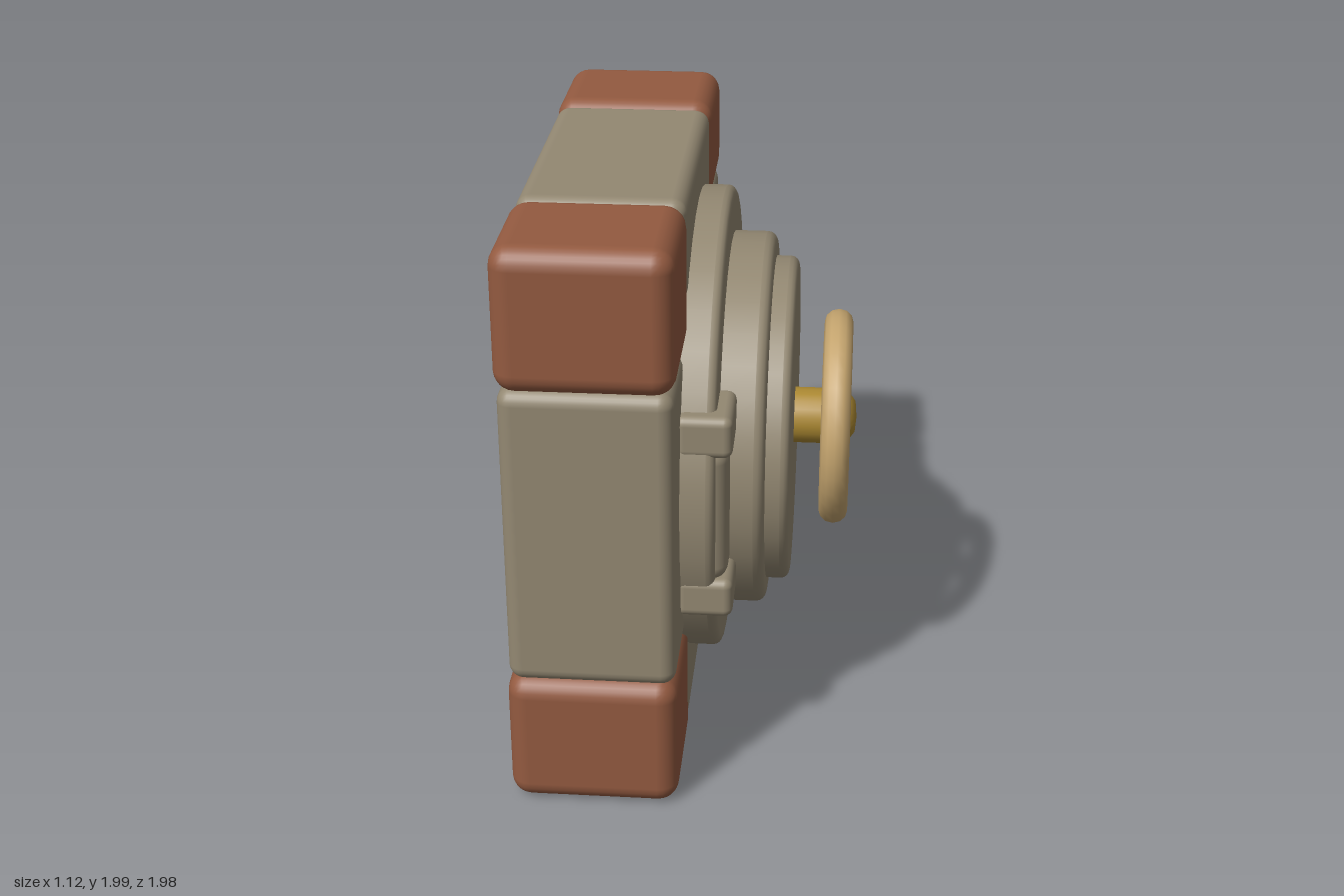
import * as THREE from 'three';
import { RoundedBoxGeometry } from 'three/addons/geometries/RoundedBoxGeometry.js';

const mat = (name, color) => {
  const m = new THREE.MeshStandardMaterial({ color });
  m.name = name;
  return m;
};

export function createModel() {
  const model = new THREE.Group();
  model.name = 'vaultDoor';
  const stone = mat('stone', 0x938872);
  const rust = mat('rust', 0x935a40);
  const tan = mat('tan', 0xc4a46e);
  const gold = mat('gold', 0xac8932);

  const add = (name, geometry, material, x = 0, y = 0, z = 0, parent = model) => {
    const mesh = new THREE.Mesh(geometry, material);
    mesh.name = name;
    mesh.position.set(x, y, z);
    parent.add(mesh);
    return mesh;
  };
  // Rounded block given by its limits on each axis
  const block = (name, material, [x0, x1], [y0, y1], [z0, z1], r = 0.05) =>
    add(name, new RoundedBoxGeometry(x1 - x0, y1 - y0, z1 - z0, 3, r), material,
      (x0 + x1) / 2, (y0 + y1) / 2, (z0 + z1) / 2);
  // Profile of [radius, x] points turned around the x axis
  const turned = (name, material, points, y, segments = 36) => {
    const g = new THREE.LatheGeometry(points.map(([r, x]) => new THREE.Vector2(r, x)), segments);
    g.rotateZ(-Math.PI / 2);
    return add(name, g, material, 0, y, 0);
  };
  const tube = (name, points, r, material) => add(name, new THREE.TubeGeometry(
    new THREE.CatmullRomCurve3(points.map((p) => new THREE.Vector3(...p))), 28, r, 10), material);

  // Square frame: core, four edge panels and four corner blocks
  const depth = [-0.555, -0.003];
  block('core', stone, [-0.55, -0.01], [0.45, 1.56], [-0.54, 0.54], 0.03);
  block('topPanel', stone, depth, [1.5, 1.985], [-0.51, 0.51]);
  block('bottomPanel', stone, depth, [0.02, 0.51], [-0.51, 0.51]);
  block('frontPanel', stone, depth, [0.48, 1.53], [0.49, 0.985]);
  block('backPanel', stone, depth, [0.47, 1.62], [-0.985, -0.49]);
  block('cornerTopFront', rust, [-0.565, 0.002], [1.515, 1.995], [0.505, 0.99], 0.07);
  block('cornerTopBack', rust, [-0.565, 0.002], [1.605, 1.995], [-0.99, -0.505], 0.07);
  for (const [name, z] of [['cornerBottomFront', [0.505, 0.99]], ['cornerBottomBack', [-0.99, -0.505]]])
    block(name, rust, [-0.565, 0.002], [0.01, 0.485], z, 0.07);

  // Stepped round door, each step with a rounded rim
  const disc = (name, r, x0, x1, y, b) => {
    const rim = [0, 1, 2, 3, 4].map((i) => {
      const a = (i / 4) * Math.PI / 2;
      return [r - b + b * Math.cos(a), x1 - b + b * Math.sin(a)];
    });
    turned(name, stone, [[r, x0], [r, x1 - b - 0.001], ...rim, [r - b - 0.01, x1], [0.001, x1]], y);
  };
  disc('outerRing', 0.82, -0.02, 0.11, 1.005, 0.03);
  disc('middleRing', 0.66, 0.08, 0.26, 1.005, 0.035);
  disc('doorFace', 0.575, 0.24, 0.34, 1.005, 0.03);

  // Hinge on the front edge of the door
  block('upperHinge', stone, [-0.02, 0.165], [1.22, 1.365], [0.54, 0.785], 0.03);
  block('lowerHinge', stone, [-0.02, 0.168], [0.63, 0.77], [0.54, 0.78], 0.03);
  block('hingeBarrel', stone, [-0.02, 0.15], [0.75, 1.25], [0.6, 0.77], 0.06);

  // Hand wheel
  const wheel = new THREE.Group();
  wheel.name = 'handWheel';
  wheel.position.set(0.487, 1.015, 0);
  model.add(wheel);
  const ring = new THREE.TorusGeometry(0.338, 0.044, 12, 36);
  ring.scale(1, 1, 1.15);
  add('wheelRim', ring, tan, 0, 0, 0, wheel).rotation.y = Math.PI / 2;
  for (const s of [-1, 1])
    add('spoke', new THREE.CylinderGeometry(0.035, 0.035, 0.66, 10), gold, 0, 0, 0, wheel)
      .rotation.x = s * Math.PI / 4;
  turned('hub', gold, [[0.1, 0.33], [0.1, 0.5], [0.09, 0.53], [0.055, 0.555], [0.001, 0.56]], 1.015, 20);

  // Hasp and padlock on the back edge of the door
  block('haspPlate', rust, [0.09, 0.2], [0.87, 1.16], [-0.985, -0.6], 0.045);
  tube('haspLoop', [[0.17, 0.97, -0.69], [0.27, 0.97, -0.72], [0.29, 0.98, -0.8],
    [0.27, 0.98, -0.87], [0.17, 0.98, -0.9]], 0.026, rust);
  tube('shackle', [[0.245, 0.82, -0.755], [0.24, 0.96, -0.75], [0.24, 1.03, -0.8],
    [0.24, 1.03, -0.86], [0.24, 0.96, -0.9], [0.245, 0.82, -0.895]], 0.027, rust);
  // Padlock body, narrowed towards its foot
  const body = new RoundedBoxGeometry(0.14, 0.29, 0.28, 4, 0.06);
  const p = body.attributes.position;
  for (let i = 0; i < p.count; i++) {
    const t = Math.max(0, -p.getY(i) - 0.03) / 0.115;
    p.setZ(i, p.getZ(i) * (1 - 0.22 * t));
  }
  body.computeVertexNormals();
  add('padlockBody', body, rust, 0.25, 0.72, -0.825);

  return model;
}
